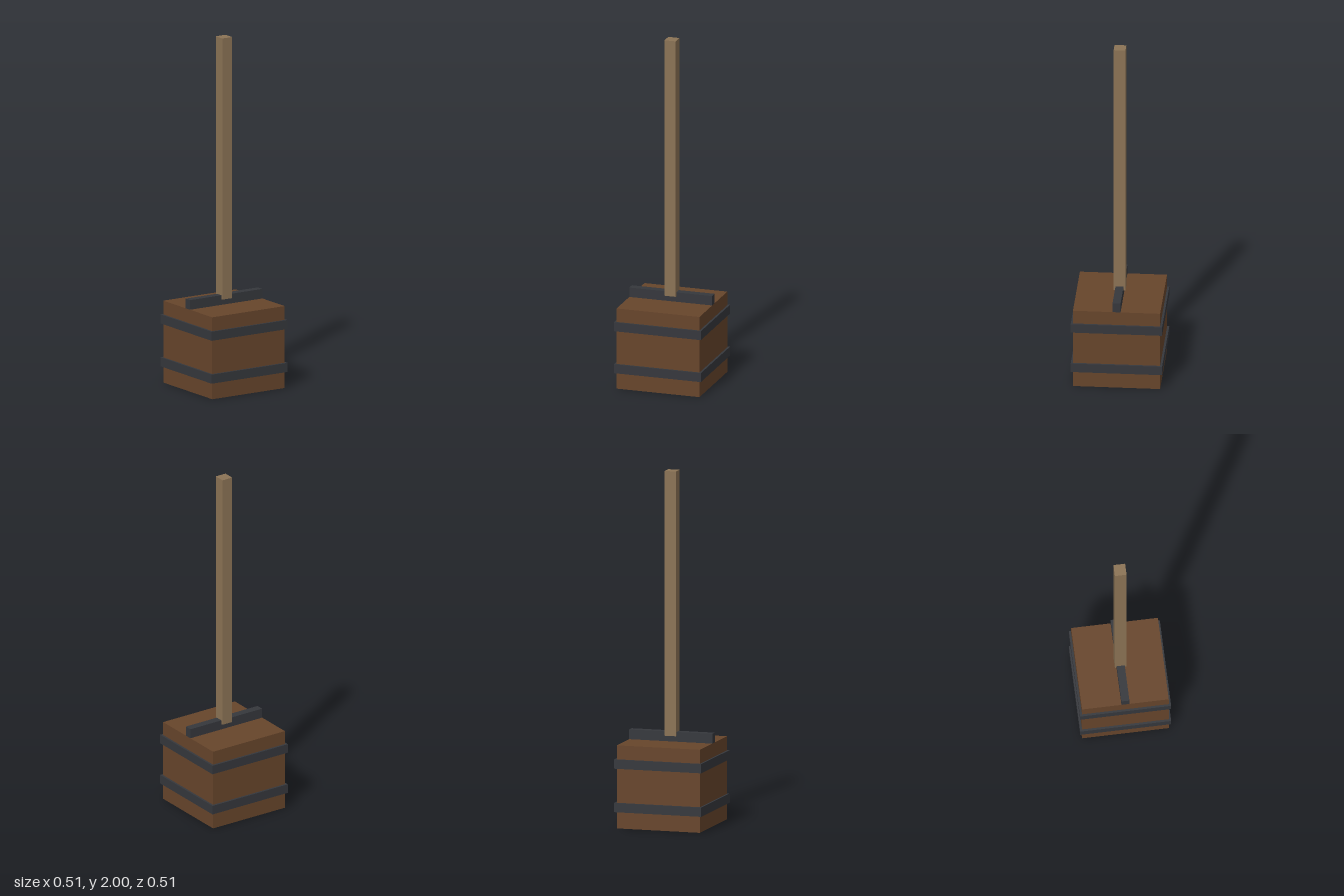
import * as THREE from 'three';

const material = (color) => new THREE.MeshStandardMaterial({ color });

// Square-footed block spanning y0..y1
function block(name, width, depth, y0, y1, mat) {
  const mesh = new THREE.Mesh(new THREE.BoxGeometry(width, y1 - y0, depth), mat);
  mesh.name = name;
  mesh.position.y = (y0 + y1) / 2;
  return mesh;
}

export function createModel() {
  const group = new THREE.Group();
  group.name = 'bucketWithPole';
  const wood = material(0x67452b);
  const iron = material(0x35373c);
  const paleWood = material(0x8b7355);

  // Closed wooden body
  group.add(block('body', 0.488, 0.488, 0, 0.47, wood));

  // Iron bands around the body
  [['lowerBand', 0.119], ['upperBand', 0.365]].forEach(([name, y]) => {
    group.add(block(name, 0.512, 0.512, y - 0.026, y + 0.026, iron));
  });

  // Crossbar on the lid and the long pole rising from it
  group.add(block('crossbar', 0.488, 0.045, 0.47, 0.525, iron));
  group.add(block('pole', 0.066, 0.066, 0.502, 2, paleWood));

  return group;
}
